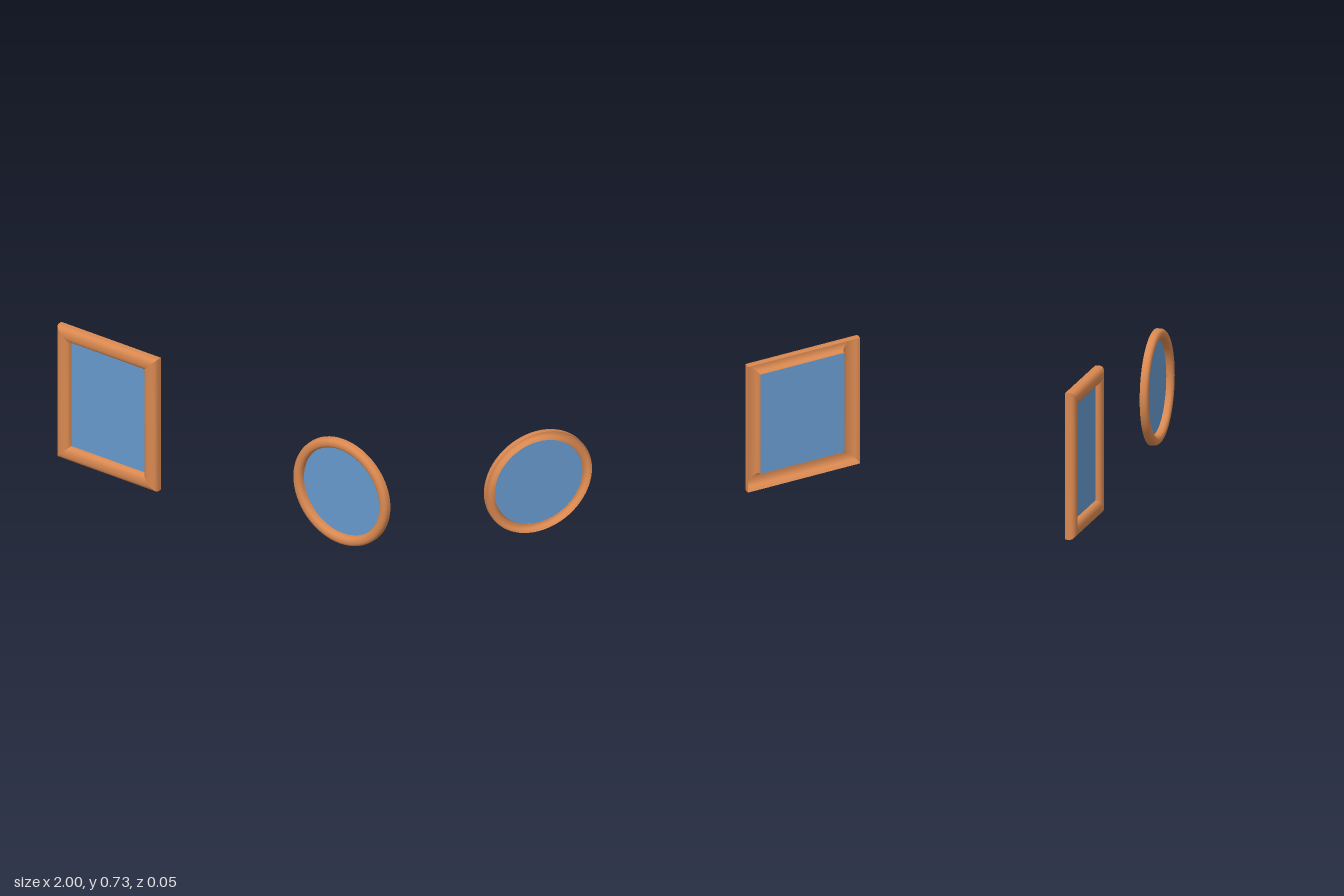
import * as THREE from 'three';

const wood = new THREE.MeshStandardMaterial({ color: 0xd98850, side: THREE.DoubleSide });
const glass = new THREE.MeshStandardMaterial({ color: 0x6699cc, side: THREE.DoubleSide });

function add(parent, name, geometry, material, z = 0) {
  const mesh = new THREE.Mesh(geometry, material);
  mesh.name = name;
  mesh.position.z = z;
  parent.add(mesh);
}

// Moulding profile, open at the back: [inset from the outer edge, z]
function moulding(width, outerBack, innerBack, spring, front, steps = 14) {
  const points = [[0, outerBack]];
  for (let i = 0; i <= steps; i++) {
    const a = Math.PI * i / steps;
    // Slightly squared half round
    const c = Math.sign(Math.cos(a)) * Math.abs(Math.cos(a)) ** 0.85;
    points.push([width * (1 - c) / 2, spring + (front - spring) * Math.sin(a) ** 0.85]);
  }
  points.push([width, innerBack]);
  return points;
}

// One mitred rail swept between two neighbouring corners
function railGeometry(profile, hw, hh, a, b) {
  const positions = [], index = [];
  profile.forEach(([d, z], i) => {
    for (const [sx, sy] of [a, b]) positions.push(sx * (hw - d), sy * (hh - d), z);
    if (i < profile.length - 1) {
      const k = i * 2;
      index.push(k, k + 1, k + 3, k, k + 3, k + 2);
    }
  });
  const g = new THREE.BufferGeometry();
  g.setAttribute('position', new THREE.Float32BufferAttribute(positions, 3));
  g.setIndex(index);
  g.computeVertexNormals();
  return g;
}

export function createModel() {
  const model = new THREE.Group();
  model.name = 'wallFrames';

  // Rectangular frame
  const rect = new THREE.Group();
  rect.name = 'rectangularFrame';
  rect.position.set(-0.699, 0.365, 0);
  const hw = 0.301, hh = 0.365, rail = 0.076;
  const rectProfile = moulding(rail, -0.026, -0.008, -0.006, 0.024);
  const corners = [[-1, -1], [1, -1], [1, 1], [-1, 1]];
  ['bottomRail', 'leftRail', 'topRail', 'rightRail'].forEach((name, i) =>
    add(rect, name, railGeometry(rectProfile, hw, hh, corners[i], corners[(i + 1) % 4]), wood));
  add(rect, 'rectangularPane', new THREE.PlaneGeometry(2 * (hw - rail), 2 * (hh - rail)), glass, -0.007);
  model.add(rect);

  // Round frame
  const round = new THREE.Group();
  round.name = 'roundFrame';
  round.position.set(0.715, 0.369, 0);
  const radius = 0.285, width = 0.05;
  const ringProfile = moulding(width, -0.012, -0.01, 0, 0.026)
    .map(([d, z]) => new THREE.Vector2(radius - d, z));
  add(round, 'ring', new THREE.LatheGeometry(ringProfile, 64).rotateX(Math.PI / 2), wood);
  add(round, 'roundPane', new THREE.CircleGeometry(radius - width, 64), glass, -0.009);
  model.add(round);

  return model;
}
